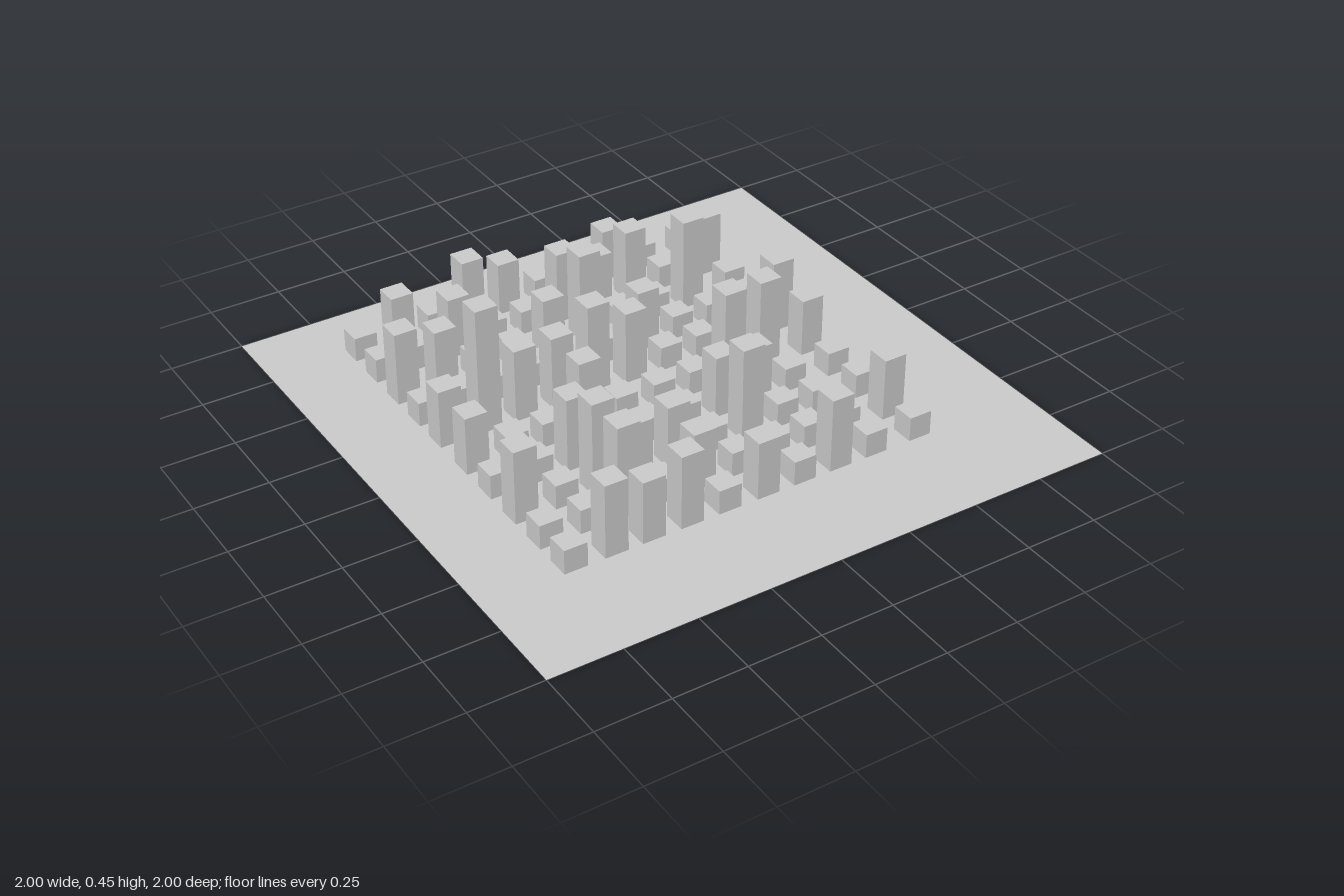
import * as THREE from 'three';

// column and row centres of the block grid
const xs = [-0.68, -0.54, -0.41, -0.275, -0.14, 0, 0.135, 0.27, 0.405, 0.575];
const zs = [-0.755, -0.605, -0.455, -0.31, -0.17, 0, 0.15, 0.3, 0.445, 0.585];

// one character per block, back row first, left to right along x
const levels = { a: 0.085, b: 0.19, c: 0.205, d: 0.22, e: 0.24, f: 0.26, g: 0.33, h: 0.45 };
const rows = [
  'abaebaabaa',
  'aadaafcfad',
  'fdaacgaaga',
  'aaaaaadaaa',
  'chffgfaaaf',
  'caafaaaggc',
  'aafaaadcaa',
  'faгcdagaaa'.replace('г', 'g'),
  'aagacaaaad',
  'afdfacafaa',
];

export function createModel() {
  const model = new THREE.Group();
  const material = new THREE.MeshStandardMaterial({ color: 0xcccccc, flatShading: true });

  // thin square ground sheet
  const base = new THREE.Mesh(
    new THREE.PlaneGeometry(2, 2).rotateX(-Math.PI / 2),
    new THREE.MeshStandardMaterial({ color: 0xcccccc, side: THREE.DoubleSide }),
  );
  base.name = 'groundPlane';
  model.add(base);

  // square towers of stepped heights
  const towers = new THREE.Group();
  towers.name = 'towers';
  const box = new THREE.BoxGeometry(0.08, 1, 0.08).translate(0, 0.5, 0);
  rows.forEach((row, r) => {
    [...row].forEach((level, c) => {
      const tower = new THREE.Mesh(box, material);
      tower.name = `tower_${r + 1}_${c + 1}`;
      tower.scale.y = levels[level];
      tower.position.set(xs[c], 0, zs[r]);
      towers.add(tower);
    });
  });
  model.add(towers);
  return model;
}
